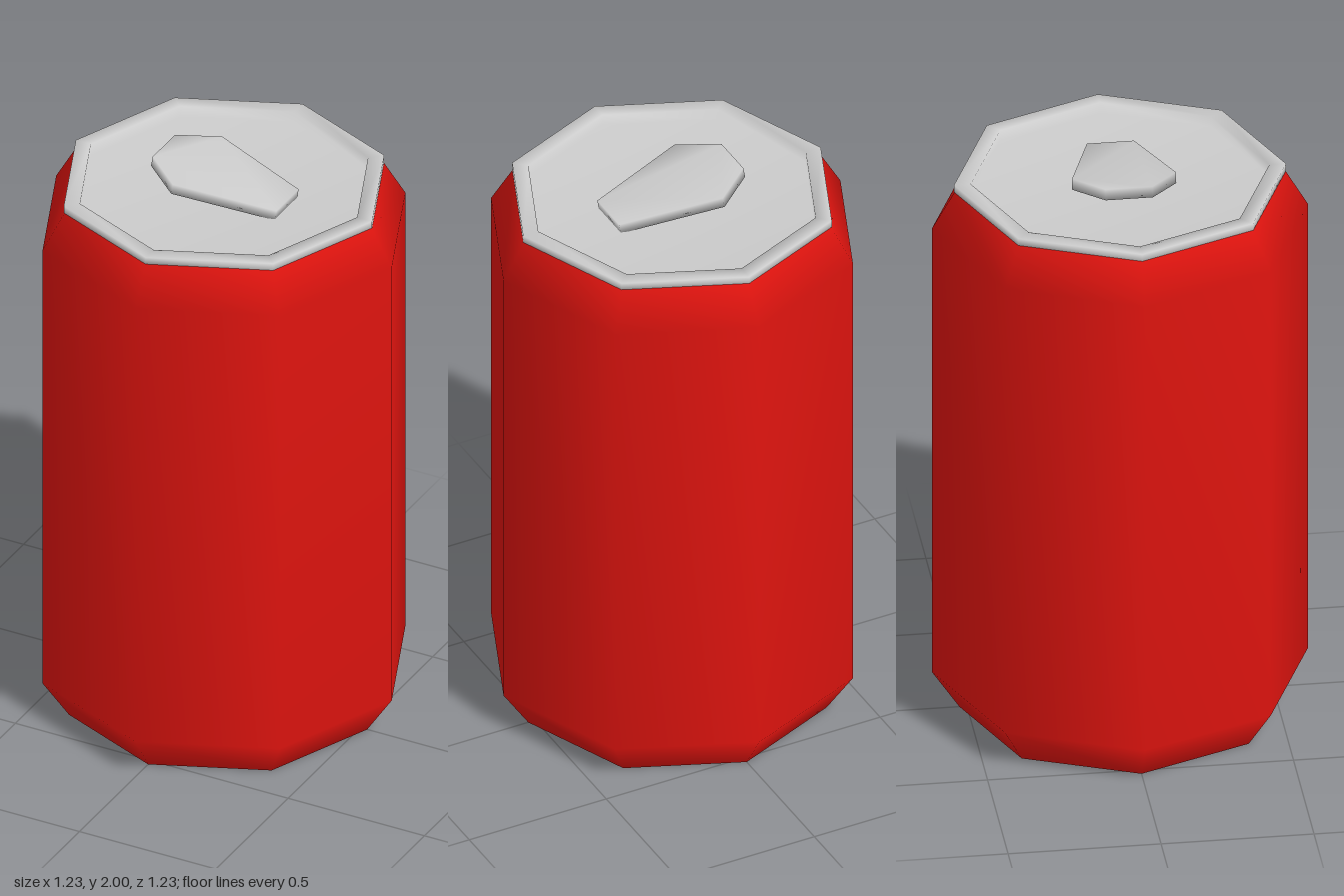
import * as THREE from 'three';
import { mergeVertices } from 'three/addons/utils/BufferGeometryUtils.js';

const SIDES = 8;

export function createModel() {
  const can = new THREE.Group();
  can.name = 'drinkCan';
  const red = new THREE.MeshStandardMaterial({ color: 0xe0140f });
  const grey = new THREE.MeshStandardMaterial({ color: 0xcccccc });

  // Eight-sided smooth turned part; profile is [radius, height] pairs
  const turned = (name, profile, material) => {
    const points = profile.map(([r, y]) => new THREE.Vector2(r, y));
    const mesh = new THREE.Mesh(new THREE.LatheGeometry(points, SIDES), material);
    mesh.name = name;
    can.add(mesh);
  };

  // Painted wall with tapered shoulder and foot
  turned('body', [[0.525, 0], [0.615, 0.135], [0.615, 1.775], [0.54, 1.905]], red);

  // Raised rim and sunken lid
  turned('lid', [[0.535, 1.905], [0.543, 1.905], [0.543, 1.93], [0.488, 1.93], [0.488, 1.89], [0, 1.89]], grey);

  // Foot ring and recessed underside
  turned('base', [[0, 0.09], [0.49, 0.09], [0.49, 0], [0.525, 0]], grey);

  // Pull tab: a six-cornered plate, tilted up at its wide end
  const outline = [[-0.23, -0.077], [-0.105, -0.17], [0.23, -0.077], [0.23, 0.077], [-0.105, 0.17], [-0.23, 0.077]];
  const shape = new THREE.Shape(outline.map(([x, y]) => new THREE.Vector2(x, y)));
  let plate = new THREE.ExtrudeGeometry(shape, { depth: 0.037, bevelEnabled: false });
  plate.deleteAttribute('normal');
  plate.deleteAttribute('uv');
  plate = mergeVertices(plate);
  plate.rotateX(-Math.PI / 2);
  plate.computeVertexNormals();
  plate.rotateZ(-0.17);
  const tab = new THREE.Mesh(plate, grey);
  tab.name = 'pullTab';
  plate.computeBoundingBox();
  tab.position.y = 2 - plate.boundingBox.max.y;
  can.add(tab);

  return can;
}
